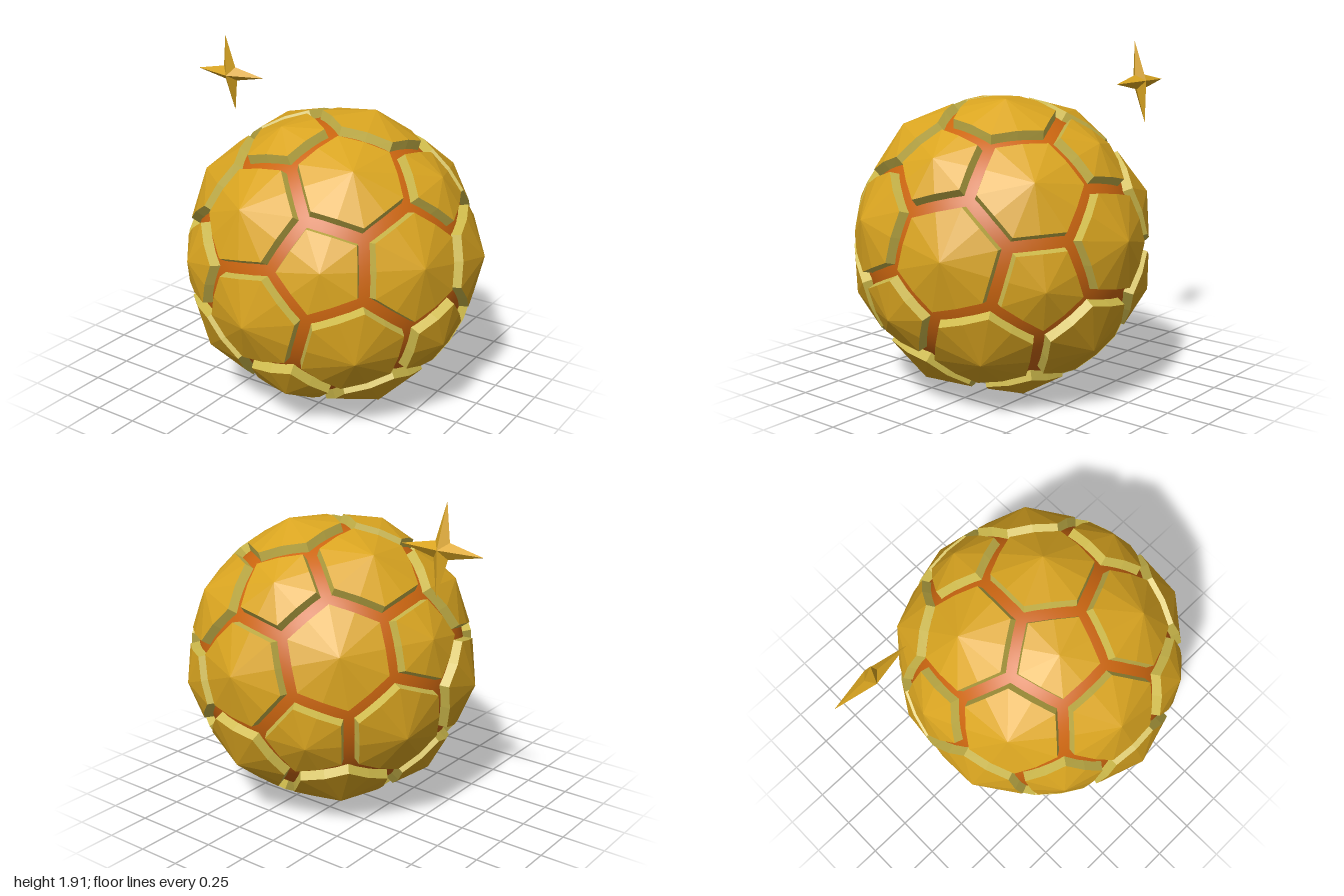
import * as THREE from 'three';

const CORE_R = 0.768, FOOT_R = 0.75, RIM_R = 0.82;
const V = (x, y, z) => new THREE.Vector3(x, y, z);
const deg = THREE.MathUtils.degToRad;

// Faceted geometry from a list of corner triples
function facets(tris) {
  const g = new THREE.BufferGeometry().setFromPoints(tris.flat());
  g.computeVertexNormals();
  return g;
}

// The twelve icosahedron directions: two rings around a tilted axis, and their opposites
function icosahedronDirections() {
  const h = V(-0.008, -0.145, 0.989).normalize();
  const u = V(1, 0, 0).addScaledVector(h, -h.x).normalize();
  const v = h.clone().cross(u);
  const dirs = [];
  for (const [polar, start] of [[37.377, 40.5], [79.188, 100.5]]) {
    for (let k = 0; k < 3; k++) {
      const a = deg(start + 120 * k), p = deg(polar);
      const d = h.clone().multiplyScalar(Math.cos(p))
        .addScaledVector(u, Math.sin(p) * Math.cos(a))
        .addScaledVector(v, Math.sin(p) * Math.sin(a));
      dirs.push(d, d.clone().negate());
    }
  }
  return dirs;
}

// Corners sorted counter-clockwise about the outward direction c
function sortAround(c, corners) {
  const e1 = corners[0].clone().addScaledVector(c, -corners[0].dot(c)).normalize();
  const e2 = c.clone().cross(e1);
  const angle = (p) => Math.atan2(p.dot(e2), p.dot(e1));
  return corners.slice().sort((a, b) => angle(a) - angle(b));
}

// Outline shrunk by an angle, edges split in two, laid on a sphere of radius r
function outline(c, corners, insetDeg, r) {
  const mid = corners[0].clone().add(corners[1]).multiplyScalar(0.5);
  const ang = mid.angleTo(c);
  const s = Math.tan(ang - deg(insetDeg)) / Math.tan(ang);
  const ring = [];
  corners.forEach((p, i) => {
    const next = corners[(i + 1) % corners.length];
    for (const t of [0, 0.5]) {
      const q = p.clone().lerp(next, t);
      const axis = c.clone().multiplyScalar(q.dot(c));
      ring.push(axis.lerp(q, s).normalize().multiplyScalar(r));
    }
  });
  return ring;
}

// One raised panel: a faceted cap with a sloping rim
function makePanel(c, corners, apexR, name, mats) {
  const sorted = sortAround(c, corners);
  const top = outline(c, sorted, 3.35, RIM_R);
  const foot = outline(c, sorted, 1.75, FOOT_R);
  const apex = c.clone().multiplyScalar(apexR);
  const cap = [], rim = [];
  top.forEach((p, i) => {
    const j = (i + 1) % top.length;
    cap.push([apex, p, top[j]]);
    rim.push([foot[i], foot[j], top[j]], [foot[i], top[j], p]);
  });
  const group = new THREE.Group();
  group.name = name;
  const capMesh = new THREE.Mesh(facets(cap), mats.gold);
  capMesh.name = 'panelCap';
  const rimMesh = new THREE.Mesh(facets(rim), mats.rim);
  rimMesh.name = 'panelRim';
  group.add(capMesh, rimMesh);
  return group;
}

// Four-pointed star with ridged spikes
function makeStar(material) {
  const ring = [];
  for (let i = 0; i < 8; i++) {
    const r = i % 2 ? 0.06 : 0.243, a = (i * Math.PI) / 4;
    ring.push(V(r * Math.cos(a), r * Math.sin(a), 0));
  }
  const tris = [];
  ring.forEach((p, i) => {
    const n = ring[(i + 1) % 8];
    tris.push([V(0, 0, 0.046), p, n], [V(0, 0, -0.046), n, p]);
  });
  const star = new THREE.Mesh(facets(tris), material);
  star.name = 'star';
  star.position.set(-0.757, 1.678, -0.293);
  star.rotation.x = 0.17;
  return star;
}

export function createModel() {
  const mat = (name, color) => {
    const m = new THREE.MeshStandardMaterial({ color });
    m.name = name;
    return m;
  };
  const mats = {
    gold: mat('gold', 0xdaa520),
    rim: mat('paleGold', 0xcdb94b),
    orange: mat('orange', 0xcc6610),
  };

  const model = new THREE.Group();
  model.name = 'panelledBallAndStar';
  const ball = new THREE.Group();
  ball.name = 'ball';
  ball.position.set(0.174, 0.831, 0);

  // Inner core seen in the grooves
  const core = new THREE.Mesh(new THREE.SphereGeometry(CORE_R, 64, 40), mats.orange);
  core.name = 'core';
  ball.add(core);

  const dirs = icosahedronDirections();
  const near = (a, b) => a !== b && a.dot(b) > 0.4;
  const third = (a, b) => a.clone().multiplyScalar(2).add(b).divideScalar(3);

  // Twelve pentagons
  for (const c of dirs) {
    const corners = dirs.filter((b) => near(c, b)).map((b) => third(c, b));
    ball.add(makePanel(c, corners, 0.85, 'pentagonPanel', mats));
  }

  // Twenty hexagons
  for (let i = 0; i < 12; i++) for (let j = i + 1; j < 12; j++) for (let k = j + 1; k < 12; k++) {
    const [a, b, c] = [dirs[i], dirs[j], dirs[k]];
    if (!near(a, b) || !near(b, c) || !near(a, c)) continue;
    const centre = a.clone().add(b).add(c).normalize();
    const corners = [third(a, b), third(b, a), third(b, c), third(c, b), third(c, a), third(a, c)];
    ball.add(makePanel(centre, corners, 0.86, 'hexagonPanel', mats));
  }

  model.add(ball, makeStar(mats.gold));
  return model;
}
